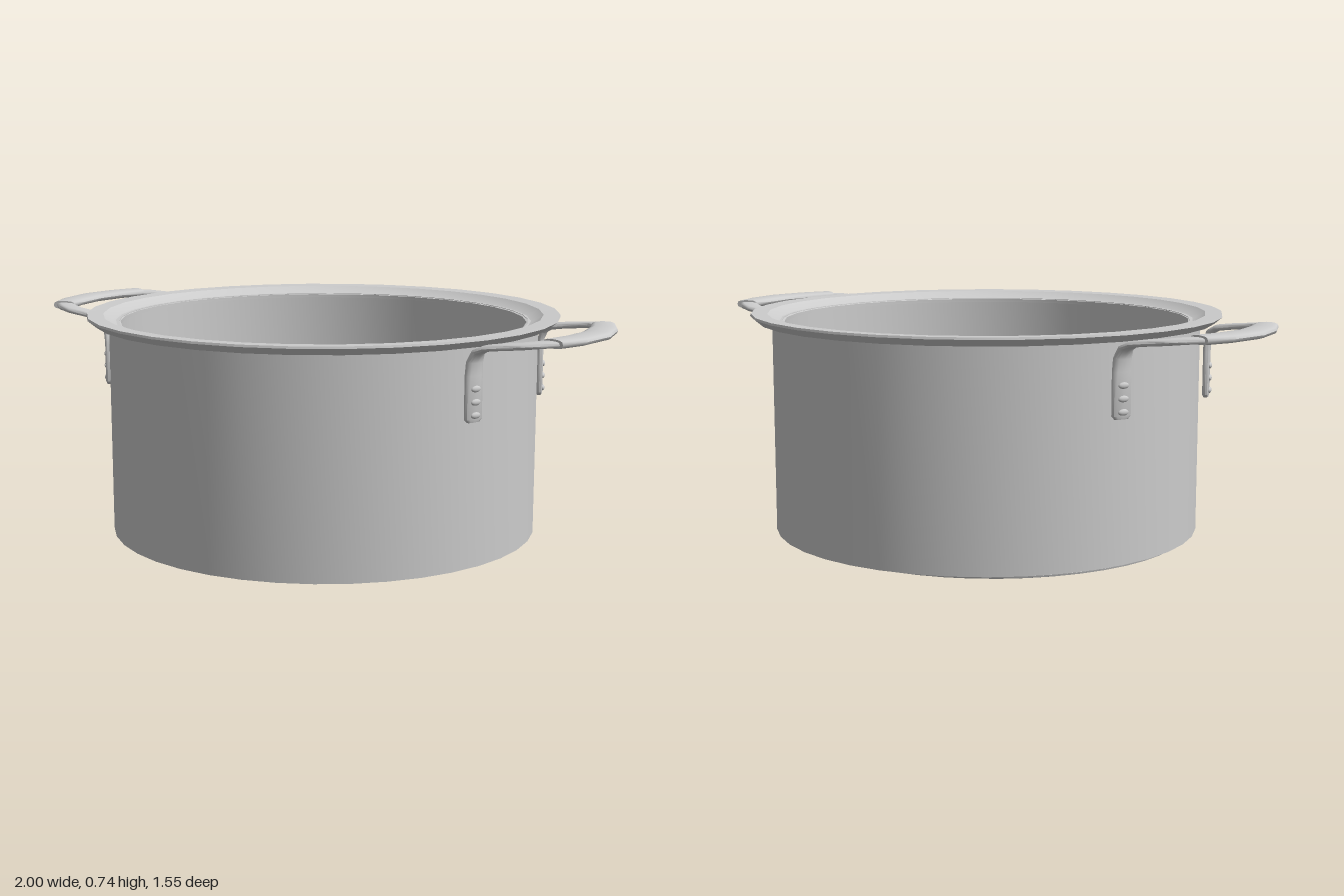
import * as THREE from 'three';
import { toCreasedNormals } from 'three/addons/utils/BufferGeometryUtils.js';

const steel = new THREE.MeshStandardMaterial({ color: 0xcccccc, side: THREE.DoubleSide });

function part(name, geometry, parent) {
  const mesh = new THREE.Mesh(geometry, steel);
  mesh.name = name;
  parent.add(mesh);
  return mesh;
}

// Revolve a (radius, height) profile, keeping sharp corners
function turned(profile, segments) {
  const points = profile.map(([r, y]) => new THREE.Vector2(r, y));
  return toCreasedNormals(new THREE.LatheGeometry(points, segments), 0.4);
}

// Sweep a soft flat section along stations [x, y, z, widthAngle, halfWidth, halfThickness]
function swept(stations, sides = 12) {
  const pts = stations.map(([x, y, z]) => new THREE.Vector3(x, y, z));
  const pos = [], index = [];
  const soft = (v) => Math.sign(v) * Math.abs(v) ** 0.7;
  stations.forEach(([, , , a, hw, ht], i) => {
    const along = pts[Math.min(i + 1, pts.length - 1)].clone().sub(pts[Math.max(i - 1, 0)]).normalize();
    const wide = new THREE.Vector3(-Math.sin(a), 0, Math.cos(a));
    wide.addScaledVector(along, -wide.dot(along)).normalize();
    const thick = along.clone().cross(wide);
    for (let j = 0; j < sides; j++) {
      const q = (j / sides) * Math.PI * 2;
      const p = pts[i].clone()
        .addScaledVector(wide, hw * soft(Math.cos(q)))
        .addScaledVector(thick, ht * soft(Math.sin(q)));
      pos.push(p.x, p.y, p.z);
      if (i === 0) continue;
      const k = (j + 1) % sides, lo = (i - 1) * sides, hi = i * sides;
      index.push(lo + j, lo + k, hi + k, lo + j, hi + k, hi + j);
    }
  });
  // End caps
  const last = (stations.length - 1) * sides;
  for (let j = 1; j < sides - 1; j++) {
    index.push(0, j + 1, j, last, last + j, last + j + 1);
  }
  const g = new THREE.BufferGeometry();
  g.setAttribute('position', new THREE.Float32BufferAttribute(pos, 3));
  g.setIndex(index);
  return toCreasedNormals(g, 0.9);
}

function createHandle() {
  const handle = new THREE.Group();
  const tilt = 0.39;

  for (const s of [1, -1]) {
    // Strap: riveted flat to the wall, then bent outwards under the rim
    const strap = [
      [0.672, 0.478, 0.265, tilt, 0.024, 0.008],
      [0.672, 0.488, 0.265, tilt, 0.034, 0.011],
      [0.672, 0.62, 0.265, tilt, 0.034, 0.011],
      [0.674, 0.66, 0.265, 0.32, 0.034, 0.011],
      [0.685, 0.69, 0.265, 0.2, 0.033, 0.011],
      [0.71, 0.704, 0.265, 0.08, 0.032, 0.01],
      [0.76, 0.711, 0.265, 0, 0.031, 0.01],
      [0.82, 0.717, 0.259, -0.25, 0.031, 0.01],
      [0.865, 0.722, 0.24, -0.6, 0.031, 0.01],
      [0.91, 0.724, 0.2, -0.85, 0.03, 0.01],
    ].map(([x, y, z, a, hw, ht]) => [x, y, z * s, a * s, hw, ht]);
    part(s > 0 ? 'strapFront' : 'strapBack', swept(strap), handle);

    // Three flattened rivets per strap
    for (const y of [0.5, 0.54, 0.58]) {
      const rivet = part('rivet', new THREE.SphereGeometry(1, 12, 8), handle);
      rivet.scale.set(0.007, 0.01, 0.019);
      rivet.position.set(0.672 + 0.011 * Math.cos(tilt), y, s * (0.265 + 0.011 * Math.sin(tilt)));
      rivet.rotation.y = -s * tilt;
    }
  }

  // Grip: wider curved bar joining both straps
  const grip = [
    [0.9, -0.218, 0.5, 0.038], [0.934, -0.125, 0.24, 0.044], [0.953, 0, 0, 0.047],
    [0.934, 0.125, -0.24, 0.044], [0.9, 0.218, -0.5, 0.038],
  ].map(([x, z, a, hw]) => [x, 0.725, z, a + Math.PI / 2, hw, 0.014]);
  part('grip', swept(grip), handle);
  return handle;
}

export function createModel() {
  const pot = new THREE.Group();
  pot.name = 'cookingPot';

  // Straight double-skinned wall, open at the bottom
  const wall = part('wall', turned([
    [0.672, 0.02], [0.705, 0.02], [0.705, 0.716], [0.672, 0.716], [0.672, 0.02],
  ], 40), pot);
  wall.position.x = 0.012;

  // Flared rim with a sloping inner lip
  const rim = part('rim', turned([
    [0.667, 0.702], [0.75, 0.711], [0.777, 0.733], [0.775, 0.74],
    [0.722, 0.738], [0.692, 0.718], [0.667, 0.713], [0.667, 0.702],
  ], 32), pot);
  rim.position.x = 0.01;

  // Thin base plate, slightly off centre inside the wall
  const base = part('base', turned([
    [0, 0], [0.635, 0], [0.648, 0.004], [0.65, 0.01], [0.645, 0.014], [0, 0.014],
  ], 48), pot);
  base.position.x = -0.015;

  // Opposed side handles
  for (const [name, turn] of [['leftHandle', 0], ['rightHandle', Math.PI]]) {
    const handle = createHandle();
    handle.name = name;
    handle.rotation.y = turn;
    pot.add(handle);
  }
  return pot;
}
